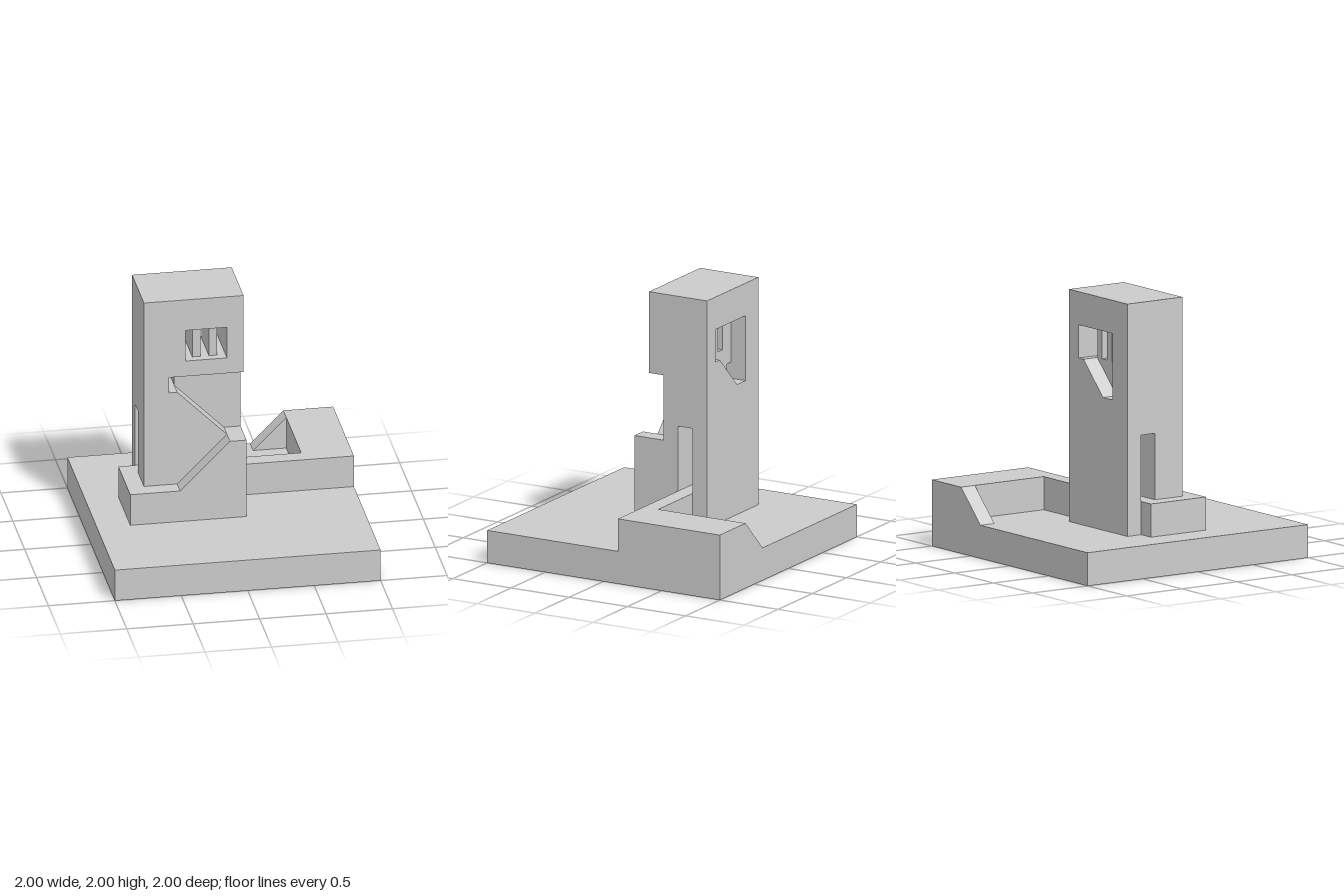
import * as THREE from 'three';

const material = new THREE.MeshStandardMaterial({ color: 0xcccccc, flatShading: true });

const rect = (x0, y0, x1, y1) => [[x0, y0], [x1, y0], [x1, y1], [x0, y1]];
const toPoints = (list) => list.map(([x, y]) => new THREE.Vector2(x, y));

// Slab with an x-y outline and holes, running from z0 to z1
function slab(name, outline, z0, z1, holes = []) {
  const shape = new THREE.Shape(toPoints(outline));
  holes.forEach((h) => shape.holes.push(new THREE.Path(toPoints(h))));
  const geometry = new THREE.ExtrudeGeometry(shape, { depth: z1 - z0, bevelEnabled: false });
  geometry.translate(0, 0, z0);
  const mesh = new THREE.Mesh(geometry, material);
  mesh.name = name;
  return mesh;
}

export function createModel() {
  const model = new THREE.Group();
  model.name = 'towerOnTerrace';

  // Ground plate
  model.add(slab('base', rect(-1, 0, 1, 0.25), -1, 1));

  // Openings shared by the tower layers
  const slots = [-0.3125, -0.1875, -0.0625].map((x) => rect(x, 1.5, x + 0.0625, 1.75));
  const tunnel = rect(-0.4375, 1.25, -0.375, 1.375);
  const windowHole = rect(-0.3125, 1.5, 0, 1.75);
  const backRecess = [[0, 1.75], [-0.4375, 1.75], [-0.4375, 1.25], [-0.3125, 1.25], [-0.0625, 1.5], [0, 1.5]];

  // Front outline with the sloping walkway cut in from the left edge
  const frontOutline = [
    [-0.625, 0.25], [0.125, 0.25], [0.125, 0.875], [0, 0.875], [-0.375, 1.25],
    [-0.4375, 1.25], [-0.4375, 1.375], [0.125, 1.375], [0.125, 2], [-0.625, 2],
  ];

  // Tower, layered from back to front
  const tower = new THREE.Group();
  tower.name = 'tower';
  const full = rect(-0.625, 0.25, 0.125, 2);
  tower.add(
    slab('backWall', full, -0.375, -0.25, [backRecess]),
    slab('doorThreshold', rect(-0.625, 0.25, 0.125, 0.5), -0.25, -0.125),
    slab('wallAboveDoor', rect(-0.625, 1, 0.125, 2), -0.25, -0.125, [...slots, tunnel]),
    slab('core', full, -0.125, 0, [...slots, tunnel]),
    slab('barredWall', frontOutline, 0, 0.0625, slots),
    slab('frontWall', frontOutline, 0.0625, 0.125, [windowHole]),
  );
  model.add(tower);

  // Front ramp and the low landing beside the door
  model.add(slab('frontRamp', [
    [-0.75, 0.25], [0.125, 0.25], [0.125, 0.875], [0, 0.875], [-0.375, 0.5], [-0.75, 0.5],
  ], 0.125, 0.25));
  model.add(slab('landing', rect(-0.75, 0.25, -0.625, 0.5), -0.25, 0.125));

  // Raised terrace and its back ramp
  model.add(slab('walkway', rect(0.125, 0.25, 1, 0.5), -0.25, -0.125));
  model.add(slab('terrace', rect(0.625, 0.25, 1, 0.5), -1, -0.25));
  model.add(slab('backRamp', [[0.375, 0.25], [0.625, 0.25], [0.625, 0.5]], -1, -0.875));

  return model;
}
